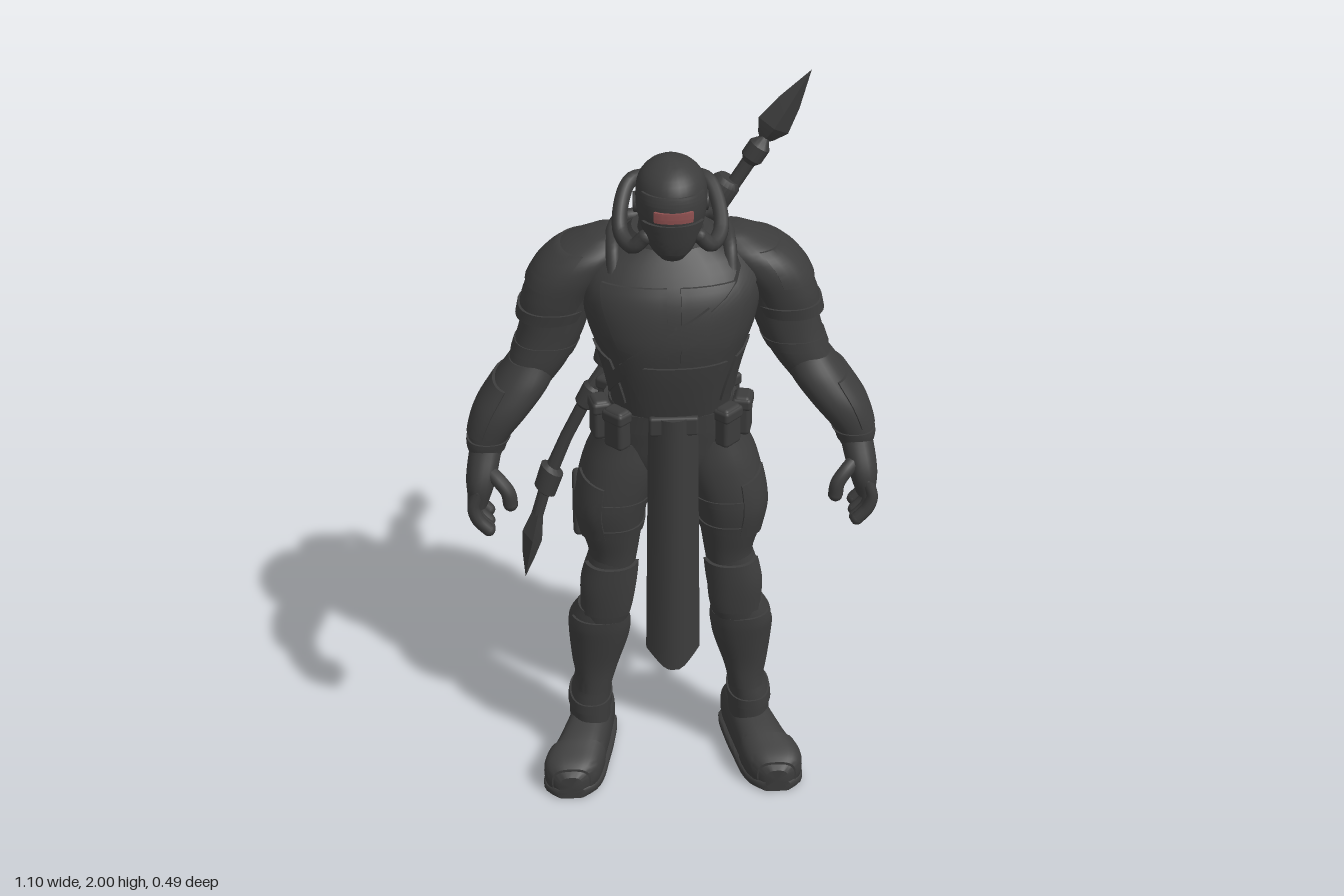
import * as THREE from 'three';
import { mergeGeometries, toCreasedNormals } from 'three/addons/utils/BufferGeometryUtils.js';
import { RoundedBoxGeometry } from 'three/addons/geometries/RoundedBoxGeometry.js';

const charcoal = new THREE.MeshStandardMaterial({ color: 0x3c3c3c });
charcoal.name = 'charcoal';
const visorRed = new THREE.MeshStandardMaterial({ color: 0x8e5050 });
visorRed.name = 'visorRed';
const RAD = Math.PI / 180;

// Rows are cross-sections [height, centreX, centreZ, radiusX, radiusZ]; blend them smoothly.
function sample(rows, y) {
  let i = 0;
  while (i < rows.length - 2 && y > rows[i + 1][0]) i++;
  const a = rows[i], b = rows[i + 1], h = b[0] - a[0];
  const t = THREE.MathUtils.clamp((y - a[0]) / h, 0, 1), p = rows[i - 1] || a, q = rows[i + 2] || b;
  return [1, 2, 3, 4].map((k) => {
    const m0 = (b[k] - p[k]) / (b[0] - p[0]) * h, m1 = (q[k] - a[k]) / (q[0] - a[0]) * h;
    const t2 = t * t, t3 = t2 * t;
    return (2 * t3 - 3 * t2 + 1) * a[k] + (t3 - 2 * t2 + t) * m0 + (3 * t2 - 2 * t3) * b[k] + (t3 - t2) * m1;
  });
}

// Point on a lofted surface at an angle (0 = front, 90 = left) and height.
function point(rows, angle, y, lift = 0, power = 2.3) {
  const [x, z, rx, rz] = sample(rows, y), s = Math.sin(angle), c = Math.cos(angle);
  const bend = (v) => Math.sign(v) * Math.abs(v) ** (2 / power);
  return [x + (Math.max(rx, 0.002) + lift) * bend(s), y, z + (Math.max(rz, 0.002) + lift) * bend(c)];
}

function indexed(pos, idx, crease = 0.7) {
  const g = new THREE.BufferGeometry();
  g.setAttribute('position', new THREE.Float32BufferAttribute(pos, 3));
  g.setIndex(idx);
  return toCreasedNormals(g, crease);
}

// Closed loft between two heights.
function loftGeo(rows, { y0 = rows[0][0], y1 = rows.at(-1)[0], lift = 0, power = 2.3, steps = 24, n = 32 } = {}) {
  const pos = [], idx = [];
  for (let i = 0; i <= steps; i++) for (let j = 0; j < n; j++)
    pos.push(...point(rows, j / n * 2 * Math.PI, y0 + (y1 - y0) * i / steps, lift, power));
  for (let i = 0; i < steps; i++) for (let j = 0; j < n; j++) {
    const k = (j + 1) % n, a = i * n + j, b = i * n + k;
    idx.push(a, b, b + n, a, b + n, a + n);
  }
  const c = pos.length / 3, top = steps * n;
  for (const y of [y0, y1]) { const [x, z] = sample(rows, y); pos.push(x, y, z); }
  for (let j = 0; j < n; j++) {
    const k = (j + 1) % n;
    idx.push(c, k, j, c + 1, top + j, top + k);
  }
  return indexed(pos, idx);
}

// Raised plate on a loft; corners are [degrees, height].
function plateGeo(rows, corners, lift) {
  const area = corners.reduce((s, [x, y], i) => {
    const [u, v] = corners[(i + 1) % 4];
    return s + x * v - u * y;
  }, 0);
  const [A, B, C, D] = area > 0 ? corners : [...corners].reverse();
  const n = 12, w = n + 3, pos = [], idx = [];
  const mix = (k, u, v) => (A[k] * (1 - u) + B[k] * u) * (1 - v) + (D[k] * (1 - u) + C[k] * u) * v;
  for (let i = 0; i < w; i++) for (let j = 0; j < w; j++) {
    const u = THREE.MathUtils.clamp((j - 1) / n, 0, 1), v = THREE.MathUtils.clamp((i - 1) / n, 0, 1);
    const rim = i === 0 || j === 0 || i === w - 1 || j === w - 1;
    pos.push(...point(rows, mix(0, u, v) * RAD, mix(1, u, v), rim ? -0.004 : lift));
    if (i && j) { const p = i * w + j; idx.push(p - w - 1, p - w, p, p - w - 1, p, p - 1); }
  }
  return indexed(pos, idx, 0.6);
}

function tubeGeo(points, r) {
  const pts = points.map((p) => new THREE.Vector3(...p));
  const end = (p) => new THREE.SphereGeometry(r, 10, 8).translate(p.x, p.y, p.z);
  return mergeGeometries([new THREE.TubeGeometry(new THREE.CatmullRomCurve3(pts), 28, r, 10), end(pts[0]), end(pts.at(-1))]);
}

// Cross-sections of the body
const pelvis = [[0.92, 0, 0.03, 0.06, 0.06], [1.0, 0, 0.03, 0.17, 0.11], [1.1, 0, 0.04, 0.18, 0.118], [1.2, 0, 0.05, 0.165, 0.118]];
const torso = [[1.15, 0, 0.055, 0.155, 0.115], [1.25, 0, 0.065, 0.165, 0.13], [1.35, 0, 0.057, 0.19, 0.158], [1.44, 0, 0.042, 0.222, 0.18],
  [1.54, 0, 0.031, 0.235, 0.171], [1.61, 0, 0.018, 0.2, 0.138], [1.66, 0, 0.015, 0.12, 0.1]];
const collar = [[1.58, 0, 0.01, 0.16, 0.125], [1.64, 0, 0.02, 0.135, 0.105], [1.68, 0, 0.025, 0.1, 0.09]];
const head = [[1.635, 0, 0.12, 0.03, 0.03], [1.66, 0, 0.105, 0.055, 0.062], [1.72, 0, 0.09, 0.08, 0.093], [1.78, 0, 0.081, 0.091, 0.109],
  [1.84, 0, 0.075, 0.083, 0.099], [1.875, 0, 0.072, 0.05, 0.062], [1.89, 0, 0.072, 0.01, 0.012]];
const upperArm = [[1.24, 0.385, 0.03, 0.068, 0.065], [1.3, 0.35, 0.025, 0.077, 0.076], [1.38, 0.315, 0.018, 0.085, 0.082],
  [1.48, 0.285, 0.012, 0.088, 0.09], [1.58, 0.24, 0.01, 0.08, 0.095], [1.63, 0.21, 0.01, 0.05, 0.06]];
const forearm = [[1.06, 0.492, 0.092, 0.042, 0.047], [1.1, 0.487, 0.088, 0.052, 0.058], [1.18, 0.442, 0.064, 0.074, 0.084],
  [1.25, 0.393, 0.044, 0.077, 0.085], [1.31, 0.36, 0.03, 0.065, 0.07]];
const palm = [[0.93, 0.518, 0.13, 0.027, 0.056], [1.0, 0.508, 0.128, 0.04, 0.062], [1.09, 0.49, 0.097, 0.044, 0.049]];
const shoulder = [[1.43, 0.315, 0.02, 0.084, 0.086], [1.5, 0.292, 0.015, 0.09, 0.1], [1.57, 0.25, 0.01, 0.098, 0.107],
  [1.62, 0.205, 0.005, 0.087, 0.095], [1.66, 0.16, 0, 0.042, 0.05]];
const thigh = [[0.64, 0.165, 0.05, 0.062, 0.074], [0.72, 0.158, 0.05, 0.068, 0.08], [0.79, 0.162, 0.048, 0.083, 0.096], [0.88, 0.16, 0.045, 0.099, 0.113],
  [1.0, 0.13, 0.035, 0.106, 0.12], [1.09, 0.11, 0.035, 0.085, 0.105]];
const knee = [[0.48, 0.186, 0.036, 0.068, 0.074], [0.54, 0.178, 0.05, 0.072, 0.069], [0.62, 0.174, 0.053, 0.074, 0.073], [0.71, 0.16, 0.055, 0.063, 0.073]];
const shin = [[0.12, 0.228, -0.01, 0.058, 0.09], [0.19, 0.226, -0.005, 0.057, 0.088], [0.25, 0.215, -0.012, 0.053, 0.092], [0.32, 0.21, -0.014, 0.067, 0.096],
  [0.42, 0.2, -0.001, 0.084, 0.1], [0.48, 0.197, 0.025, 0.084, 0.084], [0.53, 0.19, 0.042, 0.067, 0.068]];
// Foot sections run heel to toe: [z, x, -midHeight, halfWidth, halfHeight]
const foot = [[-0.13, 0.208, -0.05, 0.03, 0.05], [-0.1, 0.208, -0.07, 0.053, 0.07], [0, 0.225, -0.078, 0.06, 0.078],
  [0.1, 0.255, -0.067, 0.07, 0.067], [0.17, 0.28, -0.055, 0.079, 0.055], [0.215, 0.288, -0.046, 0.066, 0.046], [0.245, 0.29, -0.038, 0.032, 0.034]];
const sole = foot.map(([z, x, , w]) => [z, x, -0.016, w + 0.006, 0.016]);

export function createModel() {
  const model = new THREE.Group();
  const add = (name, geo, mat = charcoal, parent = model) => {
    const m = new THREE.Mesh(geo, mat);
    m.name = name;
    parent.add(m);
    return m;
  };
  const loft = (name, rows, opt) => add(name, loftGeo(rows, opt));
  const plate = (name, rows, corners, lift, mat) => add(name, plateGeo(rows, corners, lift), mat);
  const rect = (a, b, y0, y1) => [[a, y0], [b, y0], [b, y1], [a, y1]];

  // Torso, neck and head
  loft('pelvis', pelvis);
  loft('torso', torso);
  loft('collar', collar);
  add('neck', new THREE.CylinderGeometry(0.072, 0.095, 0.14, 24).translate(0, 1.69, 0.04));
  loft('head', head, { power: 2 });
  plate('faceMask', head, [[-30, 1.66], [30, 1.66], [58, 1.75], [-58, 1.75]], 0.004);
  plate('brow', head, rect(-60, 60, 1.8, 1.825), 0.002);
  plate('visor', head, rect(-29, 29, 1.759, 1.787), 0.004, visorRed);

  // Torso armour
  plate('bellyPlate', torso, [[-22, 1.2], [22, 1.2], [42, 1.36], [-42, 1.36]], 0.007);
  plate('chestStrap', torso, [[-72, 1.24], [-64, 1.3], [62, 1.63], [62, 1.56]], 0.011);
  plate('strapBuckle', torso, [[4, 1.42], [22, 1.47], [18, 1.53], [0, 1.48]], 0.016);
  plate('backPanel', torso, rect(158, 202, 1.36, 1.6), 0.009);
  plate('spinePlate', torso, rect(168, 192, 1.42, 1.62), 0.017);

  // Belt with pouches and a hanging cloth
  loft('belt', pelvis, { y0: 1.135, y1: 1.19, lift: 0.012, steps: 3 });
  for (const deg of [46, 78, 128, -46, -78, -128, -152]) {
    const a = deg * RAD, [x, y, z] = point(pelvis, a, 1.15, 0.02);
    const pouch = add('beltPouch', new RoundedBoxGeometry(0.065, Math.abs(deg) < 100 ? 0.115 : 0.08, 0.045, 2, 0.012));
    pouch.position.set(x, y, z);
    pouch.rotation.y = a;
    const flap = add('pouchFlap', new RoundedBoxGeometry(0.071, 0.035, 0.052, 2, 0.01));
    flap.position.set(x, y + 0.035, z);
    flap.rotation.y = a;
  }
  const cloth = new THREE.BoxGeometry(0.14, 0.76, 0.012, 10, 12, 1), cp = cloth.attributes.position;
  for (let i = 0; i < cp.count; i++) {
    const x = cp.getX(i), u = Math.abs(x) / 0.07, v = cp.getY(i) / 0.76 + 0.5;
    cp.setXYZ(i, x * (1.05 - 0.12 * v), 0.408 + 0.79 * v + (1 - v) * 0.05 * Math.max(0, u * 1.4 - 0.4), cp.getZ(i) + 0.205 - 0.042 * u * u);
  }
  cloth.computeVertexNormals();
  add('frontCloth', toCreasedNormals(cloth, 0.7));
  add('clothClasp', new RoundedBoxGeometry(0.13, 0.055, 0.03, 2, 0.008).translate(0, 1.175, 0.185));

  // Mirrored parts
  for (const s of [1, -1]) {
    const flip = (rows) => rows.map(([y, x, ...r]) => [y, x * s, ...r]);
    const turn = (corners) => corners.map(([a, y]) => [a * s, y]);
    const place = (pts) => pts.map(([x, y, z]) => [x * s, y, z]);
    const sidePlate = (name, rows, corners, lift) => plate(name, flip(rows), turn(corners), lift);

    add('earCap', new THREE.CylinderGeometry(0.026, 0.03, 0.02, 20).rotateZ(-s * Math.PI / 2).translate(s * 0.086, 1.755, 0.045));
    add('breathingHose', tubeGeo(place([[0.07, 1.69, 0.12], [0.1, 1.66, 0.11], [0.128, 1.675, 0.06], [0.125, 1.73, 0.01],
      [0.1, 1.775, -0.035], [0.06, 1.775, -0.062], [0, 1.765, -0.066]]), 0.02));
    add('collarHose', tubeGeo(place([[0.15, 1.58, 0.12], [0.15, 1.64, 0.08], [0.145, 1.66, 0], [0.115, 1.66, -0.065], [0, 1.66, -0.085]]), 0.018));
    sidePlate('chestPlate', torso, [[3, 1.38], [38, 1.41], [50, 1.575], [3, 1.575]], 0.007);
    sidePlate('ribPlate', torso, [[46, 1.23], [84, 1.25], [84, 1.38], [54, 1.36]], 0.006);
    sidePlate('shoulderBladePlate', torso, [[118, 1.4], [153, 1.36], [153, 1.58], [122, 1.58]], 0.006);
    sidePlate('lowerBackPlate', torso, rect(130, 170, 1.23, 1.33), 0.005);

    // Arm and hand
    loft('upperArm', flip(upperArm));
    loft('armBand', flip(upperArm), { y0: 1.33, y1: 1.36, lift: 0.003, steps: 3 });
    loft('shoulderPad', flip(shoulder));
    loft('shoulderRim', flip(shoulder), { y0: 1.435, y1: 1.465, lift: 0.006, steps: 3 });
    sidePlate('shoulderCap', shoulder, [[5, 1.53], [175, 1.53], [165, 1.625], [15, 1.625]], 0.006);
    loft('forearm', flip(forearm));
    loft('wristCuff', flip(forearm), { y0: 1.075, y1: 1.105, lift: 0.005, steps: 3 });
    sidePlate('forearmGuard', forearm, [[20, 1.12], [160, 1.12], [150, 1.27], [30, 1.25]], 0.007);
    loft('palm', flip(palm), { steps: 10, n: 20 });
    for (let f = 0; f < 4; f++) {
      const z = 0.088 + f * 0.029, d = [0.02, 0.004, 0, 0.01][f];
      add('finger', tubeGeo(place([[0.515, 0.98, z], [0.53, 0.935, z + 0.004], [0.52, 0.89 + d, z + 0.008], [0.492, 0.858 + d, z + 0.01]]), 0.0175));
    }
    add('thumb', tubeGeo(place([[0.495, 1.035, 0.14], [0.46, 1.01, 0.17], [0.437, 0.98, 0.183], [0.432, 0.947, 0.185]]), 0.02));

    // Leg and boot
    loft('thigh', flip(thigh));
    sidePlate('thighPlate', thigh, [[10, 0.8], [75, 0.78], [80, 0.98], [20, 0.96]], 0.006);
    loft('thighStrap', flip(thigh), { y0: 0.8, y1: 0.825, lift: 0.005, steps: 3 });
    loft('thighStrap', flip(thigh), { y0: 0.89, y1: 0.91, lift: 0.004, steps: 3 });
    loft('knee', flip(knee));
    sidePlate('kneePad', knee, [[-45, 0.53], [45, 0.53], [75, 0.69], [-75, 0.69]], 0.011);
    loft('shin', flip(shin));
    sidePlate('shinGuard', shin, [[-45, 0.24], [45, 0.24], [72, 0.5], [-72, 0.5]], 0.006);
    loft('bootCuff', flip(shin), { y0: 0.17, y1: 0.2, lift: 0.005, steps: 3 });
    add('boot', loftGeo(flip(foot), { power: 2.8 }).rotateX(Math.PI / 2));
    add('bootSole', loftGeo(flip(sole), { power: 5 }).rotateX(Math.PI / 2));
    add('toeCap', loftGeo(flip(foot), { y0: 0.14, y1: 0.23, lift: 0.004, power: 2.8, steps: 8 }).rotateX(Math.PI / 2).translate(0, 0.004, 0));
  }
  add('thighPouch', new RoundedBoxGeometry(0.05, 0.16, 0.11, 2, 0.014).translate(-0.24, 0.84, 0.01));

  // Two-headed spear slung across the back; its lower end bends towards the vertical
  const spear = new THREE.Group();
  spear.name = 'spear';
  spear.position.set(-0.098, 1.235, -0.202);
  spear.rotation.z = -Math.atan(0.625);
  model.add(spear);
  const turned = (pts, sides = 20, wx = 1, wz = 1) => {
    const g = new THREE.LatheGeometry(pts.map((p) => new THREE.Vector2(...p)), sides).scale(wx, 1, wz);
    const p = g.attributes.position;
    for (let i = 0; i < p.count; i++) p.setX(i, p.getX(i) + 0.343 * Math.min(0, p.getY(i) + 0.15) ** 2);
    return toCreasedNormals(g, sides > 4 ? 0.6 : 0.3);
  };
  const spearPart = (name, geo) => add(name, geo, charcoal, spear);
  spearPart('spearShaft', turned([[0, -0.63], [0.018, -0.62], [0.018, -0.548], [0.034, -0.538], [0.036, -0.47], [0.02, -0.46], [0.018, -0.36], [0.018, -0.255],
    [0.028, -0.245], [0.031, -0.19], [0.024, -0.18], [0.024, 0.38], [0.019, 0.39], [0.019, 0.6], [0.03, 0.615], [0.03, 0.655], [0.018, 0.67], [0, 0.7]]));
  spearPart('upperBlade', turned([[0, 0.66], [0.55, 0.685], [1, 0.72], [0.7, 0.795], [0, 0.902]], 4, 0.046, 0.026));
  spearPart('lowerBlade', turned([[0, -0.82], [0.6, -0.755], [1, -0.69], [0.5, -0.61], [0, -0.6]], 4, 0.032, 0.036));
  spearPart('spearHousing', turned([[0, -0.12], [0.03, -0.11], [0.041, -0.08], [0.041, 0.36], [0.036, 0.37], [0.036, 0.4], [0.04, 0.41], [0.04, 0.52], [0.03, 0.535], [0, 0.535]])
    .translate(-0.018, 0, 0));
  spearPart('housingRail', new RoundedBoxGeometry(0.035, 0.44, 0.07, 2, 0.008).translate(0.022, 0.14, 0));
  spearPart('spearMount', new RoundedBoxGeometry(0.07, 0.14, 0.06, 2, 0.012).translate(-0.01, 0.26, 0.055));
  return model;
}
